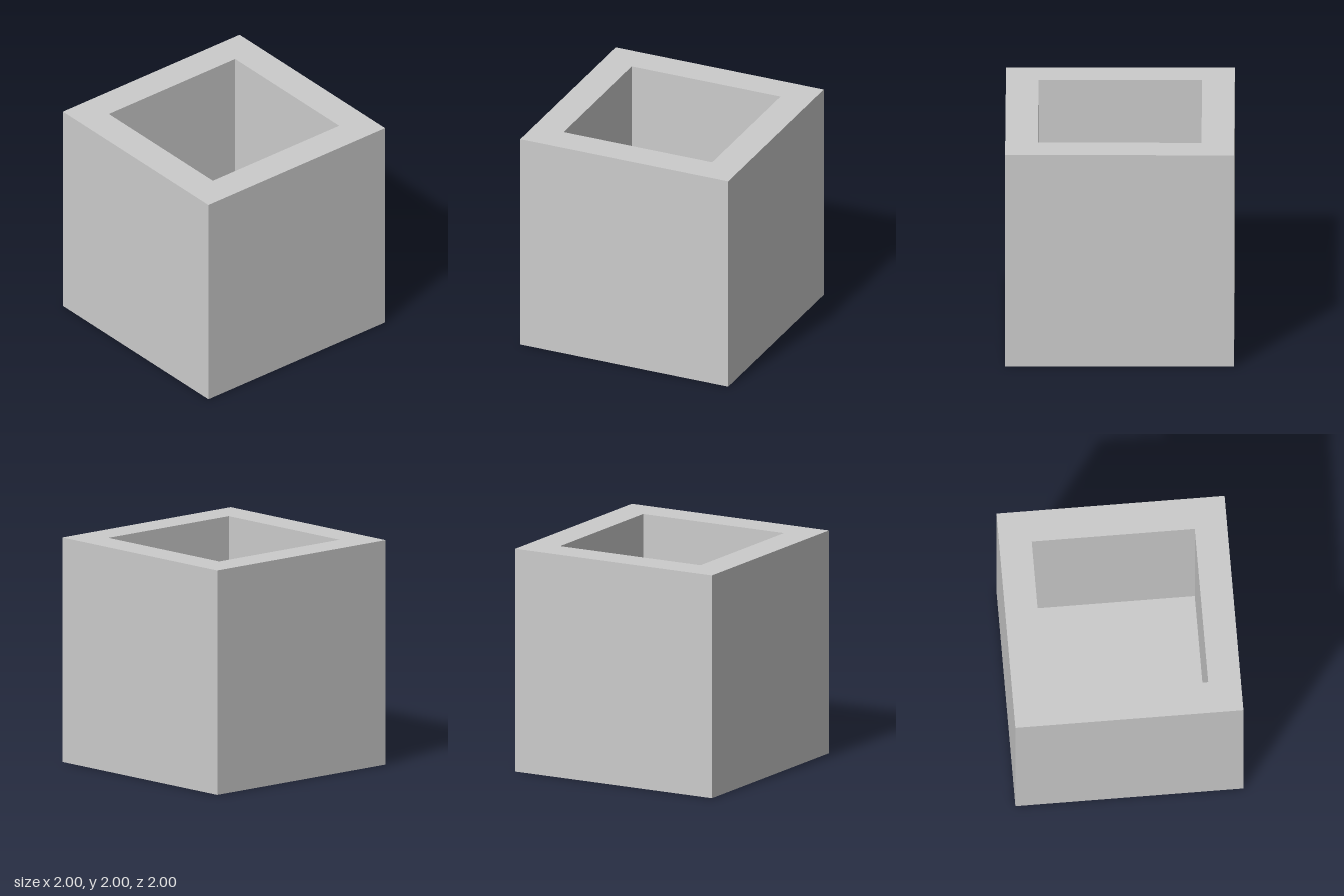
import * as THREE from 'three';

const HALF = 1;        // half width of the outer square
const HEIGHT = 2;
const WALL = 0.285;    // thickness of the walls and the floor

export function createModel() {
  const group = new THREE.Group();
  group.name = 'squarePlanter';

  // Cross-section from the centre of the underside, over the rim, to the centre of the inner floor.
  // Four lathe segments make it square, so half widths become corner radii.
  const profile = [
    [0, 0],
    [HALF, 0],
    [HALF, HEIGHT],
    [HALF - WALL, HEIGHT],
    [HALF - WALL, WALL],
    [0, WALL],
  ].map(([half, y]) => new THREE.Vector2(half * Math.SQRT2, y));

  // Non-indexed, so every side gets its own flat normals
  const geometry = new THREE.LatheGeometry(profile, 4, Math.PI / 4).toNonIndexed();
  geometry.computeVertexNormals();

  const material = new THREE.MeshStandardMaterial({ color: 0xcccccc, flatShading: true });
  const box = new THREE.Mesh(geometry, material);
  box.name = 'openBox';
  group.add(box);

  return group;
}
